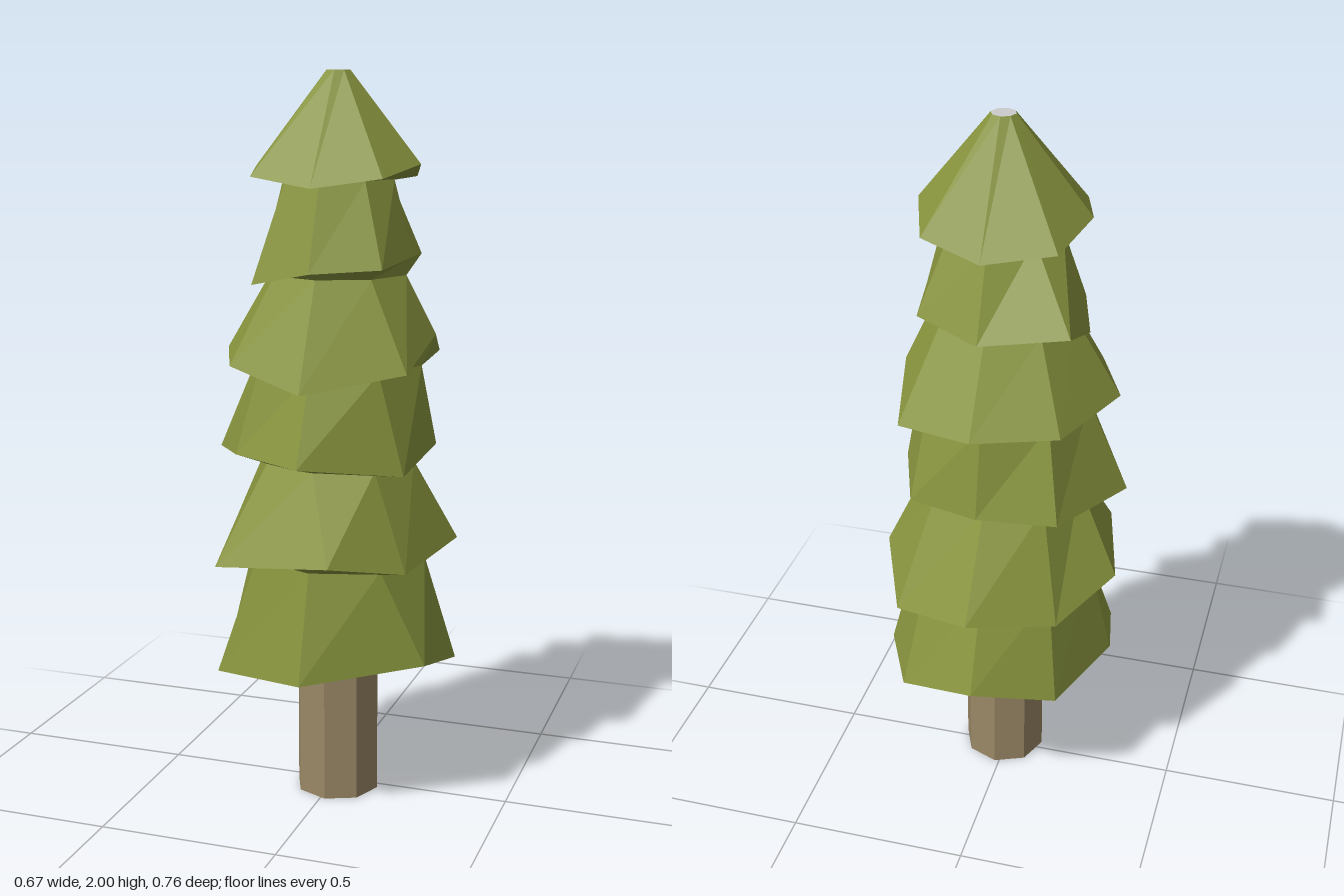
import * as THREE from 'three';

const SIDES = 8, CX = 0.013, CZ = 0.022;
const cornerIds = Array.from({ length: SIDES }, (_, i) => i);

// Corner number i at height y and radius r; corner 0 is at the front, the next toward +x
function corner(i, y, r, turn = 0) {
  const a = THREE.MathUtils.degToRad(i * 360 / SIDES + turn);
  return [CX + r * Math.sin(a), y, CZ + r * Math.cos(a)];
}

const ring = (y, r) => cornerIds.map((i) => corner(i, y, r));

// Faceted skin through a stack of rings, from the bottom up
function skin(rings) {
  const pos = [];
  for (let k = 0; k < rings.length - 1; k++) {
    const a = rings[k], b = rings[k + 1];
    for (const i of cornerIds) {
      const j = (i + 1) % SIDES;
      pos.push(...a[i], ...a[j], ...b[j], ...a[i], ...b[j], ...b[i]);
    }
  }
  const g = new THREE.BufferGeometry();
  g.setAttribute('position', new THREE.Float32BufferAttribute(pos, 3));
  g.computeVertexNormals();
  return g;
}

export function createModel() {
  const tree = new THREE.Group();
  tree.name = 'pineTree';

  const add = (name, geometry, color) => {
    const mesh = new THREE.Mesh(geometry, new THREE.MeshStandardMaterial({ color, flatShading: true }));
    mesh.name = name;
    tree.add(mesh);
    return mesh;
  };

  // Eight-sided trunk
  const trunk = add('trunk', new THREE.CylinderGeometry(0.118, 0.118, 0.46, SIDES), 0x9a8866);
  trunk.position.set(CX, 0.23, CZ + 0.004);

  // A tier runs from the ring below, out under its ragged rim and up to its own top ring.
  // The rim is given per corner: radius, height and, for the wilder tiers, turn in degrees.
  let below = ring(0.43, 0.1);
  const addTier = (name, topY, topR, radii, heights, turns = []) => {
    const rim = cornerIds.map((i) => corner(i, heights[i], radii[i], turns[i]));
    const top = ring(topY, topR);
    add(name, skin([below, rim, top]), 0x87933d);
    below = top;
  };

  const bend = [0, 8, 9, 6, 0, -5, 0, 0];
  addTier('bottomTier', 0.70, 0.25,
    [0.33, 0.33, 0.33, 0.36, 0.36, 0.34, 0.32, 0.35],
    [0.41, 0.44, 0.39, 0.39, 0.45, 0.40, 0.42, 0.38],
    [0, 18, 14, 7, 0, -5, 0, -8]);
  addTier('secondTier', 0.965, 0.215,
    [0.37, 0.32, 0.33, 0.37, 0.40, 0.36, 0.35, 0.376],
    [0.75, 0.705, 0.74, 0.66, 0.715, 0.68, 0.73, 0.70],
    [14, 7, 14, 7, 0, -7, -13, 2]);
  addTier('thirdTier', 1.23, 0.235,
    [0.34, 0.30, 0.27, 0.31, 0.29, 0.33, 0.348, 0.305],
    [1.00, 0.965, 1.01, 0.99, 0.99, 0.98, 0.97, 1.00], bend);
  addTier('fourthTier', 1.47, 0.19,
    [0.32, 0.31, 0.265, 0.34, 0.34, 0.34, 0.32, 0.32],
    [1.19, 1.235, 1.31, 1.23, 1.25, 1.25, 1.255, 1.24], bend);
  addTier('fifthTier', 1.72, 0.155,
    [0.243, 0.25, 0.21, 0.256, 0.26, 0.33, 0.233, 0.255],
    [1.49, 1.50, 1.52, 1.51, 1.485, 1.52, 1.43, 1.45]);
  addTier('topTier', 2.0, 0.033,
    [0.228, 0.25, 0.227, 0.24, 0.227, 0.265, 0.233, 0.255],
    [1.705, 1.73, 1.76, 1.72, 1.69, 1.72, 1.75, 1.73]);

  // Flat cut tip
  add('tipCap', skin([below, ring(2.0, 0)]), 0xcccccc);
  return tree;
}
